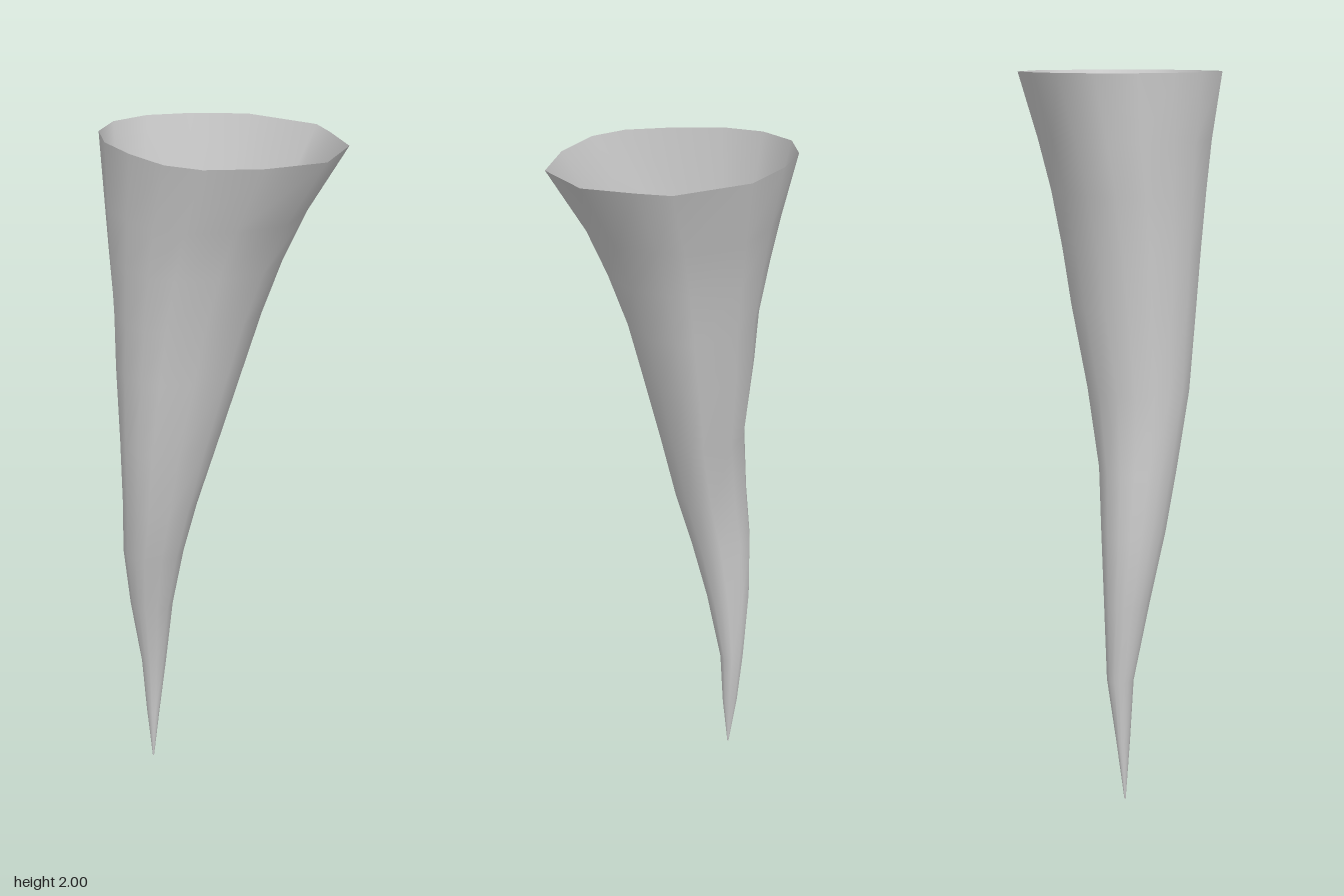
import * as THREE from 'three';

// Cross-sections from tip to rim: y, xMin, xMax, zMin, zMax
const SECTIONS = [
  [0.00, -0.147, -0.143, -0.197, -0.193],
  [0.18, -0.157, -0.122, -0.22, -0.173],
  [0.37, -0.168, -0.092, -0.233, -0.16],
  [0.60, -0.205, -0.08, -0.248, -0.115],
  [0.80, -0.235, -0.06, -0.246, -0.065],
  [0.97, -0.248, -0.036, -0.23, -0.017],
  [1.18, -0.265, 0.022, -0.216, 0.03],
  [1.40, -0.268, 0.08, -0.234, 0.082],
  [1.55, -0.268, 0.117, -0.24, 0.118],
  [1.70, -0.268, 0.155, -0.262, 0.168],
  [1.83, -0.268, 0.20, -0.283, 0.22],
  [2.00, -0.27, 0.27, -0.315, 0.315],
];

// Irregular outline of the open rim: x, z
const RIM = [
  [-0.02, -0.315], [0.09, -0.26], [0.20, -0.165], [0.27, 0.03], [0.245, 0.11],
  [0.195, 0.237], [0.055, 0.315], [-0.095, 0.27], [-0.215, 0.188], [-0.262, 0.10],
  [-0.27, -0.03], [-0.258, -0.155], [-0.21, -0.255], [-0.125, -0.315],
];

// Skin through rings that blend from an ellipse low down to the rim outline
function hornGeometry() {
  const n = RIM.length;
  const positions = [];
  const indices = [];
  SECTIONS.forEach(([y, x0, x1, z0, z1], row) => {
    const blend = THREE.MathUtils.smoothstep(y, 0.8, 2);
    RIM.forEach(([rx, rz], i) => {
      const u = rx / 0.27, v = rz / 0.315;
      const scale = THREE.MathUtils.lerp(1 / Math.hypot(u, v), 1, blend);
      positions.push(
        (x0 + x1) / 2 + u * scale * (x1 - x0) / 2,
        y,
        (z0 + z1) / 2 + v * scale * (z1 - z0) / 2);
      if (row === 0) return;
      const j = (i + 1) % n, lo = (row - 1) * n, hi = row * n;
      indices.push(lo + j, lo + i, hi + i, lo + j, hi + i, hi + j);
    });
  });
  const geometry = new THREE.BufferGeometry();
  geometry.setAttribute('position', new THREE.Float32BufferAttribute(positions, 3));
  geometry.setIndex(indices);
  geometry.computeVertexNormals();
  return geometry;
}

export function createModel() {
  const group = new THREE.Group();
  group.name = 'horn';
  // Thin hollow shell, open at the top
  const shell = new THREE.Mesh(hornGeometry(),
    new THREE.MeshStandardMaterial({ color: 0xcccccc, side: THREE.DoubleSide }));
  shell.name = 'hornShell';
  group.add(shell);
  return group;
}
